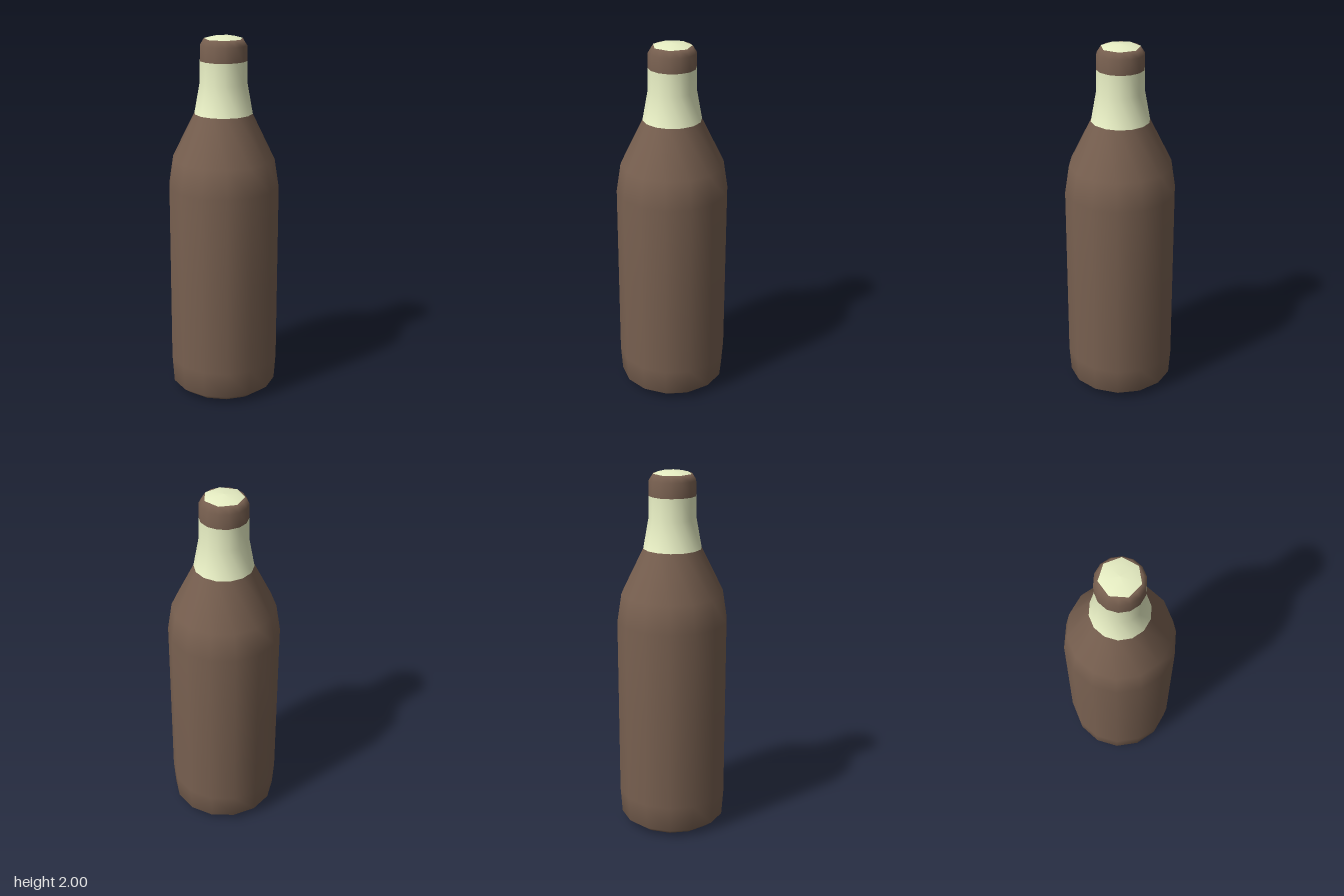
import * as THREE from 'three';

const BROWN = 0x786050;
const CREAM = 0xe8efc4;

// Bottle outline (radius, height) from base centre up to the cap
const PROFILE = [
  [0, 0.002], [0.245, 0.008], [0.293, 0.045], [0.303, 0.19], [0.303, 0.7],
  [0.303, 1.19], [0.279, 1.345], [0.158, 1.59],
  [0.129, 1.75], [0.127, 1.87],
  [0.126, 1.95], [0.105, 1.983], [0, 1.987],
];

const toPoints = (list) => list.map(([r, y]) => new THREE.Vector2(r, y));

// Keeps only the profile steps from..to of a lathe, so normals stay smooth across bands
function latheBand(profile, sides, from, to, phiStart = 0) {
  const geometry = new THREE.LatheGeometry(toPoints(profile), sides, phiStart);
  const steps = profile.length - 1;
  const kept = Array.from(geometry.index.array).filter((_, i) => {
    const step = Math.floor(i / 6) % steps;
    return step >= from && step < to;
  });
  geometry.setIndex(kept);
  return geometry;
}

function addPart(group, name, geometry, color) {
  const mesh = new THREE.Mesh(geometry, new THREE.MeshStandardMaterial({ color }));
  mesh.name = name;
  group.add(mesh);
}

export function createModel() {
  const bottle = new THREE.Group();
  bottle.name = 'bottle';

  // Glass body, neck label and cap share one 14-sided outline
  addPart(bottle, 'body', latheBand(PROFILE, 14, 0, 7), BROWN);
  addPart(bottle, 'neckLabel', latheBand(PROFILE, 14, 7, 9), CREAM);
  addPart(bottle, 'cap', latheBand(PROFILE, 14, 9, 12), BROWN);

  // Seven-sided domed cap top with one corner at the back
  const dome = [[0.105, 1.984], [0.06, 1.996], [0, 2]];
  addPart(bottle, 'capTop', latheBand(dome, 7, 0, 2, Math.PI), CREAM);

  return bottle;
}
